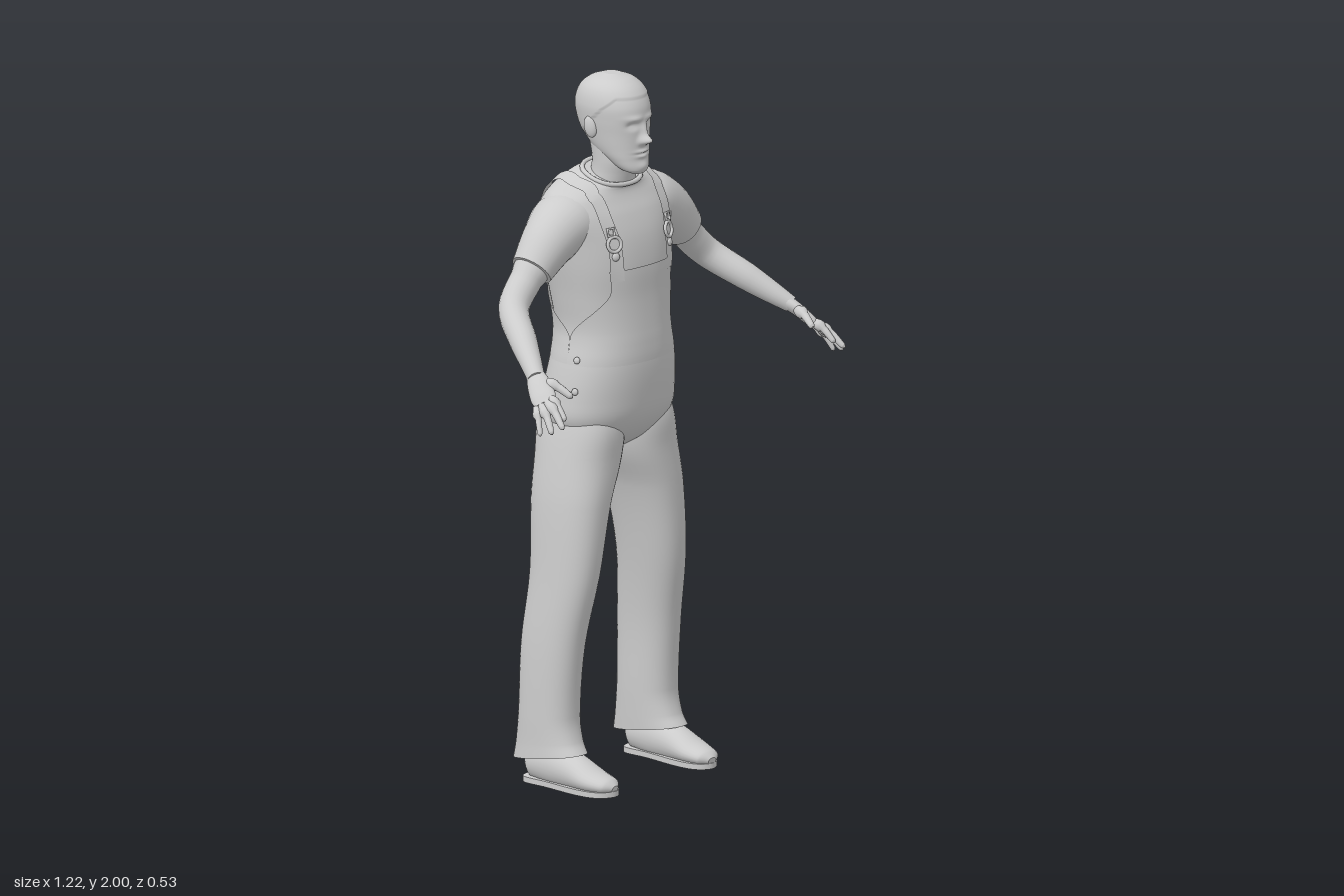
import * as THREE from 'three';

const V = (x, y, z) => new THREE.Vector3(x, y, z);
const RAD = Math.PI / 180;
const sym = rows => rows.map(([y, h, f, b, t = 0]) => [y, -h, h, f, b, t]);

// Cross-sections: [height, x min, x max, z front, z back, slope]
const TORSO = sym([
  [0.93, 0.06, -0.06, -0.15], [0.97, 0.15, 0, -0.205], [1.03, 0.2, 0.04, -0.238], [1.1, 0.202, 0.055, -0.243],
  [1.2, 0.187, 0.062, -0.226], [1.28, 0.167, 0.053, -0.218], [1.38, 0.178, 0.046, -0.23], [1.47, 0.195, 0.045, -0.248],
  [1.55, 0.21, 0.033, -0.26], [1.62, 0.225, 0.01, -0.24, -0.05], [1.67, 0.2, -0.012, -0.208, -0.15],
  [1.7, 0.14, -0.02, -0.18, -0.28], [1.717, 0.085, -0.018, -0.15, -0.36]]);
const LEG = [
  [0.08, 0.14, 0.272, -0.005, -0.245, 0.16], [0.12, 0.138, 0.27, -0.025, -0.235, 0.1], [0.2, 0.135, 0.27, -0.04, -0.225, 0],
  [0.4, 0.13, 0.265, -0.025, -0.22, 0], [0.6, 0.105, 0.25, 0.01, -0.205, 0], [0.8, 0.062, 0.237, 0.02, -0.22, 0],
  [0.92, 0.012, 0.22, 0.02, -0.228, 0], [1.02, 0.003, 0.2, 0.02, -0.23, 0], [1.12, 0.03, 0.17, -0.02, -0.18, 0]];
const NECK = sym([[1.65, 0.075, -0.03, -0.16], [1.72, 0.065, -0.012, -0.14], [1.76, 0.065, -0.002, -0.135], [1.83, 0.068, -0.005, -0.15]]);
const HEAD = sym([
  [1.728, 0.02, 0.028, -0.005], [1.74, 0.042, 0.035, -0.035], [1.77, 0.061, 0.033, -0.085], [1.8, 0.072, 0.033, -0.135],
  [1.84, 0.08, 0.034, -0.168], [1.88, 0.086, 0.036, -0.185], [1.92, 0.088, 0.032, -0.188], [1.96, 0.077, 0.01, -0.172],
  [1.985, 0.053, -0.022, -0.142], [1.998, 0.02, -0.06, -0.105]]);

// Smooth interpolation of the cross-section rows at a height
function rowAt(rows, y) {
  let i = 0;
  while (i < rows.length - 2 && y > rows[i + 1][0]) i++;
  const a = rows[i], b = rows[i + 1], p = rows[i - 1] || a, n = rows[i + 2] || b;
  const d = b[0] - a[0], t = (y - a[0]) / d, t2 = t * t, t3 = t2 * t;
  return a.map((v, k) => {
    const m0 = (b[k] - p[k]) / (b[0] - p[0]) * d, m1 = (n[k] - v) / (n[0] - a[0]) * d;
    return (2 * t3 - 3 * t2 + 1) * v + (t3 - 2 * t2 + t) * m0 + (3 * t2 - 2 * t3) * b[k] + (t3 - t2) * m1;
  });
}

// Point on a body surface at a height and angle (0 = left side, 90 degrees = front)
function surface(rows, y, a, power = 0.87) {
  const [, x0, x1, f, b, tilt] = rowAt(rows, y);
  const c = Math.cos(a), s = Math.sin(a);
  const dz = Math.sign(s) * Math.abs(s) ** power * (f - b) / 2;
  return V((x0 + x1) / 2 + Math.sign(c) * Math.abs(c) ** power * (x1 - x0) / 2, y + tilt * dz, (f + b) / 2 + dz);
}

function surfaceNormal(rows, y, a) {
  const up = surface(rows, y + 0.004, a).sub(surface(rows, y - 0.004, a));
  return up.cross(surface(rows, y, a + 0.02).sub(surface(rows, y, a - 0.02))).normalize();
}

// Grid of points fn(u, v); a closed grid is a capped loft
function grid(fn, nu, nv, closed = true) {
  const pos = [], idx = [], w = closed ? nv : nv + 1;
  for (let i = 0; i <= nu; i++) for (let j = 0; j < w; j++) pos.push(...fn(i / nu, j / nv).toArray());
  for (let i = 0; i < nu; i++) for (let j = 0; j < nv; j++) {
    const a = i * w + j, b = i * w + (j + 1) % w;
    idx.push(a, a + w, b, b, a + w, b + w);
  }
  if (closed) for (const u of [0, 1]) {
    const ring = Array.from({ length: nv }, (_, j) => fn(u, j / nv));
    const mid = ring.reduce((s, p) => s.add(p), V(0, 0, 0)).divideScalar(nv), c = pos.length / 3;
    [mid, ...ring].forEach(p => pos.push(...p.toArray()));
    for (let j = 0; j < nv; j++) {
      const p = c + 1 + j, q = c + 1 + (j + 1) % nv;
      idx.push(c, u ? q : p, u ? p : q);
    }
  }
  const g = new THREE.BufferGeometry();
  g.setAttribute('position', new THREE.Float32BufferAttribute(pos, 3));
  g.setIndex(idx);
  g.computeVertexNormals();
  return g;
}

function loft(rows, per = 5, nv = 40, shape = p => p, power) {
  const n = rows.length - 1;
  return grid((u, v) => {
    const i = Math.min(Math.floor(u * n + 1e-6), n - 1), t = u * n - i;
    return shape(surface(rows, rows[i][0] + (rows[i + 1][0] - rows[i][0]) * t, v * Math.PI * 2, power));
  }, n * per, nv);
}

// Limb along points [x, y, z, half width, half thickness]; wide is the width direction
function limb(pts, wide, nv = 20, shape = p => p, per = 5) {
  const path = new THREE.CatmullRomCurve3(pts.map(p => V(p[0], p[1], p[2])));
  const size = new THREE.CatmullRomCurve3(pts.map(p => V(p[3], p[4] ?? p[3], 0)));
  return grid((u, v) => {
    const t = path.getTangent(u), r = size.getPoint(u), a = v * Math.PI * 2;
    const s = wide.clone().addScaledVector(t, -t.dot(wide)).normalize(), n = s.clone().cross(t);
    return shape(path.getPoint(u).addScaledVector(s, Math.cos(a) * r.x).addScaledVector(n, Math.sin(a) * r.y));
  }, (pts.length - 1) * per, nv);
}

function mirrored(geo) {
  const g = geo.clone().scale(-1, 1, 1);
  const src = g.index ? Array.from(g.index.array) : Array.from({ length: g.attributes.position.count }, (_, i) => i);
  for (let i = 0; i < src.length; i += 3) [src[i], src[i + 1]] = [src[i + 1], src[i]];
  g.setIndex(src);
  return g;
}

// Facial relief and the slight step of the short hair
function face(p) {
  const { x, y, z } = p, ax = Math.abs(x);
  const bump = (cx, cy, sx, sy, h) => h * Math.exp(-(((ax - cx) / sx) ** 2) - ((y - cy) / sy) ** 2);
  if (z > -0.04) {
    p.z += bump(0, 1.826, 0.012, 0.013, 0.03) + bump(0, 1.848, 0.009, 0.022, 0.014)
      + bump(0.012, 1.822, 0.007, 0.008, 0.008) + bump(0.03, 1.888, 0.024, 0.008, 0.006)
      + bump(0.033, 1.868, 0.014, 0.009, -0.012) + bump(0.033, 1.866, 0.009, 0.005, 0.005)
      + bump(0, 1.793, 0.022, 0.005, 0.007) + bump(0, 1.779, 0.019, 0.005, 0.006)
      + bump(0, 1.786, 0.024, 0.002, -0.004) + bump(0, 1.75, 0.02, 0.012, 0.005);
  }
  const line = 1.945 + Math.min(0, z + 0.01) * 0.9;
  if (y > Math.max(line, 1.79)) p.add(V(x, 0, z + 0.08).normalize().multiplyScalar(0.003));
  return p;
}

export function createModel() {
  const model = new THREE.Group();
  const grey = new THREE.MeshStandardMaterial({ color: 0xcccccc, side: THREE.DoubleSide });
  grey.name = 'light grey';
  const add = (name, geo) => {
    const m = new THREE.Mesh(geo, grey);
    m.name = name;
    model.add(m);
  };
  const pair = (name, geo) => { add(name + 'Left', geo); add(name + 'Right', mirrored(geo)); };

  // Head and trunk
  add('torso', loft(TORSO, 5, 56));
  add('neck', loft(NECK, 4, 32, undefined, 1));
  add('head', loft(HEAD, 9, 96, face, 0.95));
  const ear = new THREE.SphereGeometry(1, 16, 12).scale(0.011, 0.031, 0.019).rotateX(-0.2).rotateY(-0.3);
  pair('ear', ear.translate(0.086, 1.858, -0.085));
  const collar = Array.from({ length: 24 }, (_, i) => surface(TORSO, 1.716, i * 15 * RAD));
  add('collar', new THREE.TubeGeometry(new THREE.CatmullRomCurve3(collar, true), 48, 0.007, 8, true));

  // Overall bib and back panel, laid just over the shirt
  const panel = (mid, top, slope) => grid((u, v) => {
    const k = Math.abs(2 * v - 1), y = 1.2 + u * (top - slope * k - 1.2);
    const spread = 90 - 53 * THREE.MathUtils.smoothstep(y, 1.27, 1.42);
    const a = (mid + (v - 0.5) * 2 * spread) * RAD;
    return surface(TORSO, y, a).addScaledVector(surfaceNormal(TORSO, y, a), 0.006 * Math.min(1, u * 4));
  }, 20, 40, false);
  add('bib', panel(90, 1.47, 0));
  add('backPanel', panel(-90, 1.52, 0.1));

  // Shoulder straps: [height, angle] along the torso
  const route = new THREE.CatmullRomCurve3([[1.44, 60], [1.54, 62], [1.64, 60], [1.69, 42], [1.703, 0], [1.685, -45], [1.62, -66], [1.5, -78]]
    .map(([y, a]) => V(y, a * RAD, 0)));
  pair('strap', grid((u, v) => {
    const at = t => { const q = route.getPoint(t); return surface(TORSO, q.x, q.y); };
    const q = route.getPoint(u), n = surfaceNormal(TORSO, q.x, q.y);
    const t = at(Math.min(1, u + 0.01)).sub(at(Math.max(0, u - 0.01))).normalize();
    return at(u).addScaledVector(n, 0.007).addScaledVector(n.clone().cross(t).normalize(), (v - 0.5) * 0.042);
  }, 40, 4, false));

  // Buckles and side buttons
  const onTorso = (geo, y, deg) => {
    const n = surfaceNormal(TORSO, y, deg * RAD), p = surface(TORSO, y, deg * RAD).addScaledVector(n, 0.009);
    return geo.applyQuaternion(new THREE.Quaternion().setFromUnitVectors(V(0, 0, 1), n)).translate(p.x, p.y, p.z);
  };
  pair('buckle', onTorso(new THREE.TorusGeometry(0.021, 0.005, 8, 20), 1.545, 62));
  pair('buckleLoop', onTorso(new THREE.TorusGeometry(0.014, 0.004, 8, 4, Math.PI * 2).rotateZ(Math.PI / 4), 1.58, 62));
  pair('bibButton', onTorso(new THREE.SphereGeometry(0.012, 12, 8).scale(1, 1, 0.5), 1.51, 61));
  for (const y of [1.215, 1.13])
    pair('sideButton', onTorso(new THREE.SphereGeometry(0.01, 12, 8).scale(1, 1, 0.6), y, y > 1.2 ? 12 : 16));

  // Sleeves and arms
  const across = V(0, 0, 1);
  pair('sleeve', limb([[0.06, 1.59, -0.115, 0.08, 0.07], [0.16, 1.595, -0.112, 0.095, 0.088], [0.235, 1.56, -0.103, 0.078, 0.078],
    [0.312, 1.49, -0.1, 0.06, 0.059]], across, 28));
  const handWide = V(0.035, -0.025, -0.02);
  pair('arm', limb([[0.25, 1.55, -0.1, 0.046], [0.33, 1.468, -0.103, 0.046], [0.398, 1.402, -0.088, 0.043],
    [0.458, 1.338, 0, 0.039], [0.5, 1.29, 0.07, 0.03], [0.525, 1.262, 0.11, 0.025, 0.023]], across));

  // Hands: palm, then thumb and four fingers as [knuckle, tip, radius]
  pair('palm', limb([[0.515, 1.272, 0.095, 0.024, 0.02], [0.532, 1.25, 0.125, 0.033, 0.018], [0.548, 1.224, 0.155, 0.036, 0.016],
    [0.559, 1.208, 0.175, 0.031, 0.011]], handWide));
  const fingers = [
    [[0.522, 1.255, 0.13], [0.495, 1.222, 0.218], 0.012], [[0.541, 1.224, 0.172], [0.555, 1.172, 0.245], 0.0105],
    [[0.554, 1.214, 0.174], [0.58, 1.155, 0.26], 0.011], [[0.566, 1.204, 0.167], [0.599, 1.14, 0.236], 0.0105],
    [[0.574, 1.198, 0.154], [0.606, 1.13, 0.198], 0.009]];
  fingers.forEach(([a, b, r], i) => {
    const mid = a.map((c, k) => (c + b[k]) / 2 + (k === 1 ? 0.008 : 0));
    const end = a.map((c, k) => c + (b[k] - c) * 0.93);
    pair(i ? 'finger' + i : 'thumb', limb([[...a, r], [...mid, r], [...end, r * 0.75], [...b, r * 0.25]], handWide, 10));
  });

  // Trouser legs
  pair('trouserLeg', loft(LEG, 5, 40));

  // Shoes
  pair('shoe', limb([[0.207, 0.05, -0.205, 0.015, 0.02], [0.207, 0.055, -0.18, 0.042, 0.05], [0.207, 0.055, -0.1, 0.048, 0.06],
    [0.207, 0.048, -0.03, 0.05, 0.052], [0.206, 0.034, 0.04, 0.052, 0.033], [0.202, 0.027, 0.09, 0.04, 0.022],
    [0.2, 0.022, 0.11, 0.014, 0.01]], V(1, 0, 0), 24, p => { p.y = Math.max(p.y, 0.012); return p; }));
  const outline = new THREE.Shape();
  outline.moveTo(0.207, -0.206);
  outline.splineThru([[0.25, -0.185], [0.253, -0.1], [0.26, 0.02], [0.245, 0.085], [0.2, 0.111], [0.162, 0.085], [0.152, 0.02],
    [0.163, -0.1], [0.165, -0.185], [0.207, -0.206]].map(p => new THREE.Vector2(...p)));
  const sole = new THREE.ExtrudeGeometry(outline, { depth: 0.016, bevelEnabled: false, curveSegments: 30 });
  pair('sole', sole.rotateX(Math.PI / 2).translate(0, 0.016, 0));
  return model;
}
